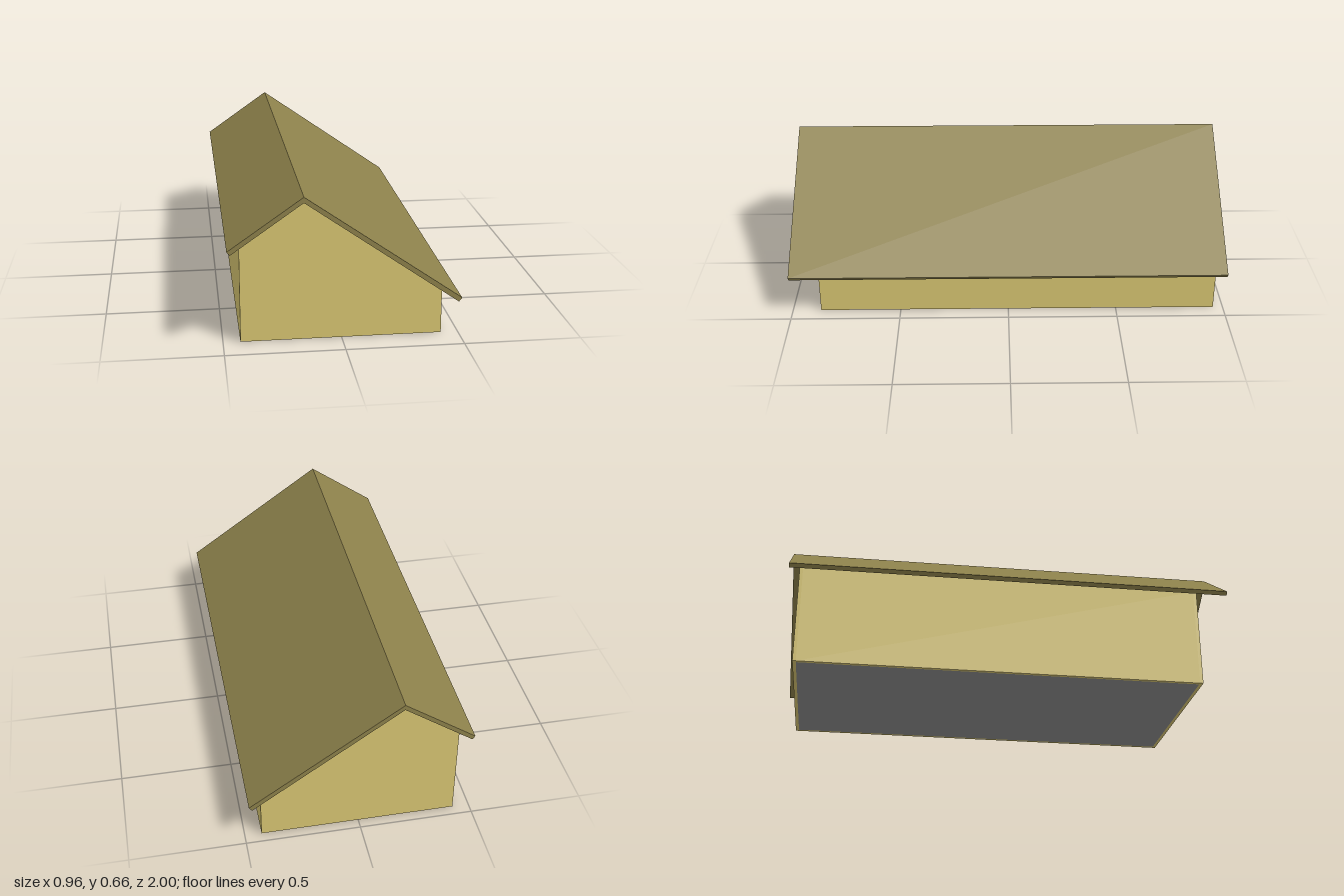
import * as THREE from 'three';

const wallMat = new THREE.MeshStandardMaterial({ color: 0xd8c672 });
const roofMat = new THREE.MeshStandardMaterial({ color: 0x8d814b });
const floorMat = new THREE.MeshStandardMaterial({ color: 0x8c8c8c });

const W = 0.427;      // half width of the walls
const T = 0.015;      // wall thickness
const FRONT = 0.87, BACK = -0.955;
const RIDGE = [-0.172, 0.639];
const SLOPE = 0.699;

// Height of the roof's underside at x
const underside = (x) => RIDGE[1] - SLOPE * Math.abs(x - RIDGE[0]);

// Extrude an x-y outline from z0 to z1
function prism(name, points, z0, z1, material) {
  const shape = new THREE.Shape(points.map(([x, y]) => new THREE.Vector2(x, y)));
  const geometry = new THREE.ExtrudeGeometry(shape, { depth: z1 - z0, bevelEnabled: false });
  geometry.translate(0, 0, z0);
  const mesh = new THREE.Mesh(geometry, material);
  mesh.name = name;
  return mesh;
}

export function createModel() {
  const house = new THREE.Group();
  house.name = 'house';

  // Gable walls
  const gable = [[-W, 0], [W, 0], [W, underside(W)], RIDGE, [-W, underside(-W)]];
  house.add(prism('frontWall', gable, FRONT - T, FRONT, wallMat));
  house.add(prism('backWall', gable, BACK, BACK + T, wallMat));

  // Long side walls, with tops cut to the roof pitch
  for (const [name, x0, x1] of [['rightWall', -W, -W + T], ['leftWall', W - T, W]]) {
    const section = [[x0, 0], [x1, 0], [x1, underside(x1)], [x0, underside(x0)]];
    house.add(prism(name, section, BACK + T, FRONT - T, wallMat));
  }

  // Floor slab between the walls
  const inner = W - T;
  const slab = [[-inner, 0], [inner, 0], [inner, T], [-inner, T]];
  house.add(prism('floor', slab, BACK + T, FRONT - T, floorMat));

  // Two roof slopes meeting at the off-centre ridge
  const top = [RIDGE[0], 0.663];
  house.add(prism('rightRoof', [[-0.482, 0.446], [-0.47, 0.43], RIDGE, top], -1, 1, roofMat));
  house.add(prism('leftRoof', [RIDGE, [0.469, 0.19], [0.482, 0.207], top], -1, 1, roofMat));

  return house;
}
